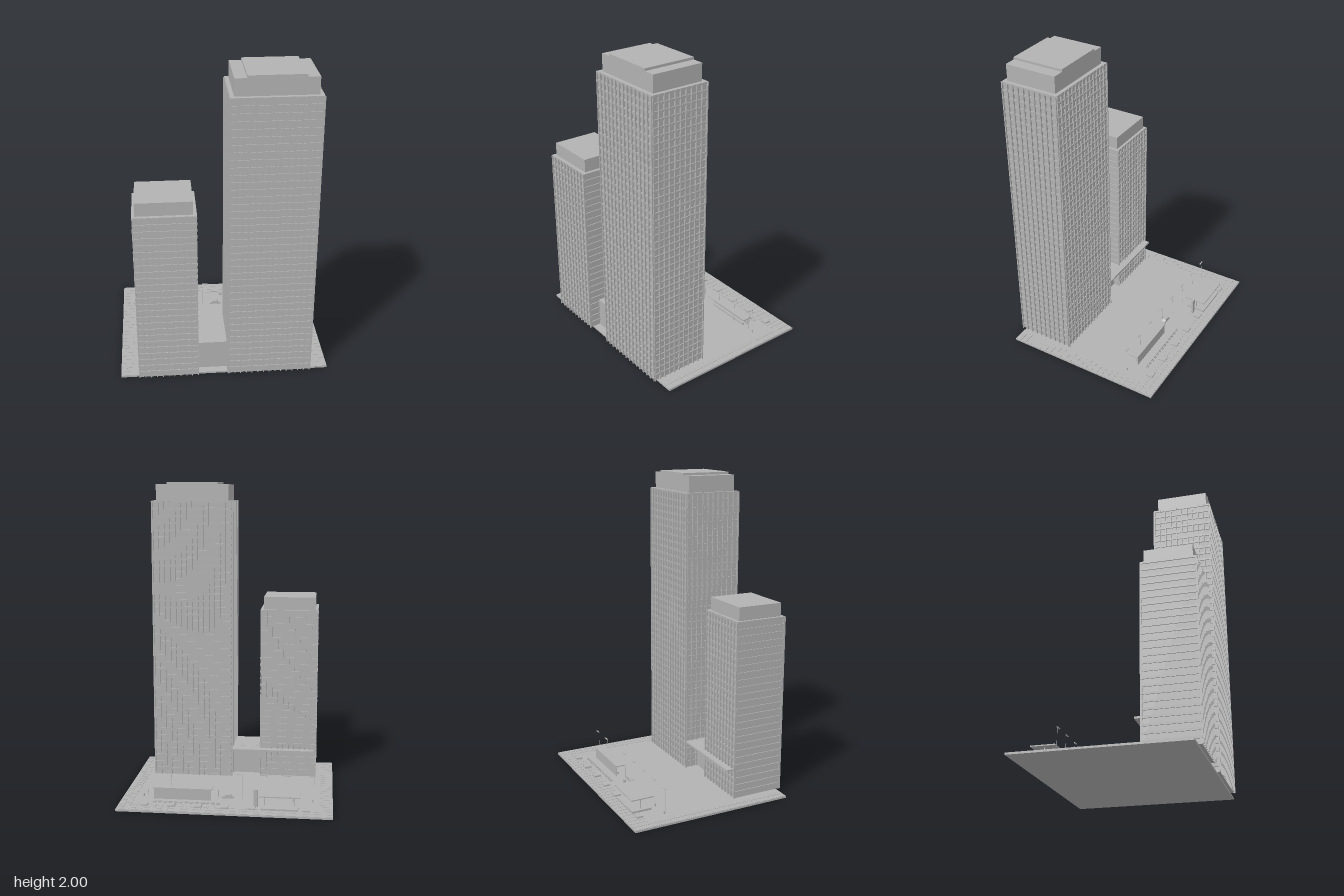
import * as THREE from 'three';
import { mergeGeometries } from 'three/addons/utils/BufferGeometryUtils.js';

const concrete = new THREE.MeshStandardMaterial({ color: 0xb2b2b2 });
concrete.name = 'concrete grey';

// Box geometry from its extents
function block(x0, x1, y0, y1, z0, z1) {
  return new THREE.BoxGeometry(x1 - x0, y1 - y0, z1 - z0)
    .translate((x0 + x1) / 2, (y0 + y1) / 2, (z0 + z1) / 2);
}
// One named mesh from one or more geometries
function part(parent, name, ...geos) {
  const mesh = new THREE.Mesh(geos.length > 1 ? mergeGeometries(geos) : geos[0], concrete);
  mesh.name = name;
  parent.add(mesh);
}

const GROUND = 0.012;
const FLOOR = 0.0467;

// Tower shaft: recessed wall, floor bands and vertical fins
function tower(name, { x0, x1, z0, z1, top, baysX, baysZ }) {
  const g = new THREE.Group();
  g.name = name;
  const inset = 0.006, out = 0.005, w = 0.003;
  part(g, 'wall', block(x0 + inset, x1 - inset, GROUND, top - 0.004, z0 + inset, z1 - inset));
  const bands = [], fins = [];
  const floors = Math.round((top - GROUND) / FLOOR);
  const step = (top - GROUND) / floors;
  for (let i = 1; i <= floors; i++) {
    const y = GROUND + i * step;
    bands.push(block(x0, x1, y - 0.014, y, z0, z1));
  }
  for (let i = 0; i <= baysX; i++) {
    const x = x0 + 0.005 + (x1 - x0 - 0.01) * i / baysX;
    fins.push(block(x - w, x + w, GROUND, top - 0.003, z0 - out, z0 + 0.008));
    fins.push(block(x - w, x + w, GROUND, top - 0.003, z1 - 0.008, z1 + out));
  }
  for (let i = 0; baysZ && i <= baysZ; i++) {
    const z = z0 + 0.005 + (z1 - z0 - 0.01) * i / baysZ;
    fins.push(block(x0 - out, x0 + 0.008, GROUND, top - 0.003, z - w, z + w));
    fins.push(block(x1 - 0.008, x1 + out, GROUND, top - 0.003, z - w, z + w));
  }
  part(g, 'floorBands', ...bands);
  part(g, 'fins', ...fins);
  return g;
}

// Rows of slightly raised paving tiles
function paving(x0, x1, z0, z1) {
  const nx = Math.round((x1 - x0) / 0.04), nz = Math.round((z1 - z0) / 0.04);
  const dx = (x1 - x0) / nx, dz = (z1 - z0) / nz, gap = 0.002, tiles = [];
  for (let i = 0; i < nx; i++) {
    for (let j = 0; j < nz; j++) {
      const x = x0 + i * dx, z = z0 + j * dz;
      tiles.push(block(x + gap, x + dx - gap, GROUND - 0.004, GROUND + 0.002, z + gap, z + dz - gap));
    }
  }
  return tiles;
}

export function createModel() {
  const model = new THREE.Group();
  model.name = 'towerComplex';

  // Site
  part(model, 'groundSlab', block(-0.667, 0.667, 0, GROUND, -0.545, 0.51));
  part(model, 'paving',
    ...paving(-0.665, 0.665, -0.543, -0.423),
    ...paving(0.585, 0.665, -0.423, 0.508),
    ...paving(-0.665, -0.585, -0.423, 0.508));

  // Tall tower with stepped crown
  const tall = tower('tallTower', { x0: 0.02, x1: 0.55, z0: 0.15, z1: 0.535, top: 1.88, baysX: 14, baysZ: 10 });
  part(tall, 'crown', block(0.045, 0.525, 1.87, 1.985, 0.175, 0.51));
  part(tall, 'roofDeck', block(0.117, 0.452, 1.98, 2.0, 0.175, 0.51));
  model.add(tall);

  // Short tower with plain banded sides
  const short = tower('shortTower', { x0: -0.553, x1: -0.168, z0: 0.195, z1: 0.535, top: 1.16, baysX: 10, baysZ: 0 });
  part(short, 'crown', block(-0.535, -0.19, 1.15, 1.245, 0.213, 0.512));
  model.add(short);

  // Lobby between the towers and the long rear canopy
  part(model, 'lobby', block(-0.18, 0.03, GROUND, 0.205, 0.243, 0.46));
  part(model, 'entranceCanopy', block(-0.53, 0.03, 0.192, 0.204, 0.15, 0.246));

  // Station entrance: platform, posts, roof and sign
  const station = new THREE.Group();
  station.name = 'stationShelter';
  part(station, 'platform', block(-0.455, -0.225, GROUND, 0.025, -0.47, -0.34));
  part(station, 'roof', block(-0.468, -0.208, 0.099, 0.106, -0.478, -0.328));
  const posts = [-0.43, -0.245].map(x => block(x - 0.003, x + 0.003, 0.02, 0.1, -0.405, -0.399));
  part(station, 'posts', ...posts);
  part(station, 'sign', block(-0.203, -0.177, GROUND, 0.12, -0.408, -0.396));
  model.add(station);

  // Street shelter: rear wall and roof
  const shelter = new THREE.Group();
  shelter.name = 'streetShelter';
  part(shelter, 'wall', block(0.1, 0.465, GROUND, 0.082, -0.333, -0.329));
  part(shelter, 'roof', block(0.092, 0.477, 0.08, 0.086, -0.335, -0.27));
  part(shelter, 'bench', block(0.13, 0.435, GROUND, 0.024, -0.313, -0.3));
  model.add(shelter);

  // Planter beds
  part(model, 'planters', ...[-0.505, -0.168, 0, 0.165, 0.333, 0.502]
    .map(x => block(x - 0.022, x + 0.022, GROUND, 0.023, -0.472, -0.428)));

  // Row of low racks
  const racks = [];
  for (let i = 0; i < 13; i++) {
    const x = 0.033 + i * 0.0335;
    racks.push(block(x, x + 0.025, GROUND, 0.022, -0.394, -0.39));
    racks.push(block(x + 0.008, x + 0.02, GROUND, 0.022, -0.403, -0.399));
  }
  part(model, 'racks', ...racks);

  // Street lamps
  const heads = [], poles = [];
  for (let i = 0; i < 8; i++) {
    const x = -0.53 + i * 0.151;
    heads.push(block(x - 0.019, x + 0.019, 0.174, 0.178, -0.292, -0.284));
    poles.push(block(x - 0.019, x - 0.018, GROUND, 0.176, -0.2885, -0.2875));
  }
  part(model, 'lampHeads', ...heads);
  part(model, 'lampPoles', ...poles);

  // Bollards
  part(model, 'bollards', ...[[-0.542, -0.296], [-0.42, -0.296], [0.537, -0.296]]
    .map(([x, z]) => block(x - 0.004, x + 0.004, GROUND, 0.03, z - 0.004, z + 0.004)));

  // Parked car: extruded side profile
  const side = new THREE.Shape();
  side.moveTo(-0.038, 0.004);
  [[0.038, 0.004], [0.038, 0.014], [0.022, 0.016], [0.012, 0.026], [-0.018, 0.026], [-0.028, 0.016], [-0.038, 0.014]]
    .forEach(([x, y]) => side.lineTo(x, y));
  const body = new THREE.ExtrudeGeometry(side, { depth: 0.024, bevelEnabled: false })
    .translate(-0.002, GROUND, -0.294);
  part(model, 'car', body);
  const wheels = [];
  for (const x of [-0.024, 0.02]) {
    for (const z of [-0.291, -0.273]) {
      wheels.push(new THREE.CylinderGeometry(0.006, 0.006, 0.005, 10)
        .rotateX(Math.PI / 2).translate(x, GROUND + 0.006, z));
    }
  }
  part(model, 'carWheels', ...wheels);

  return model;
}
